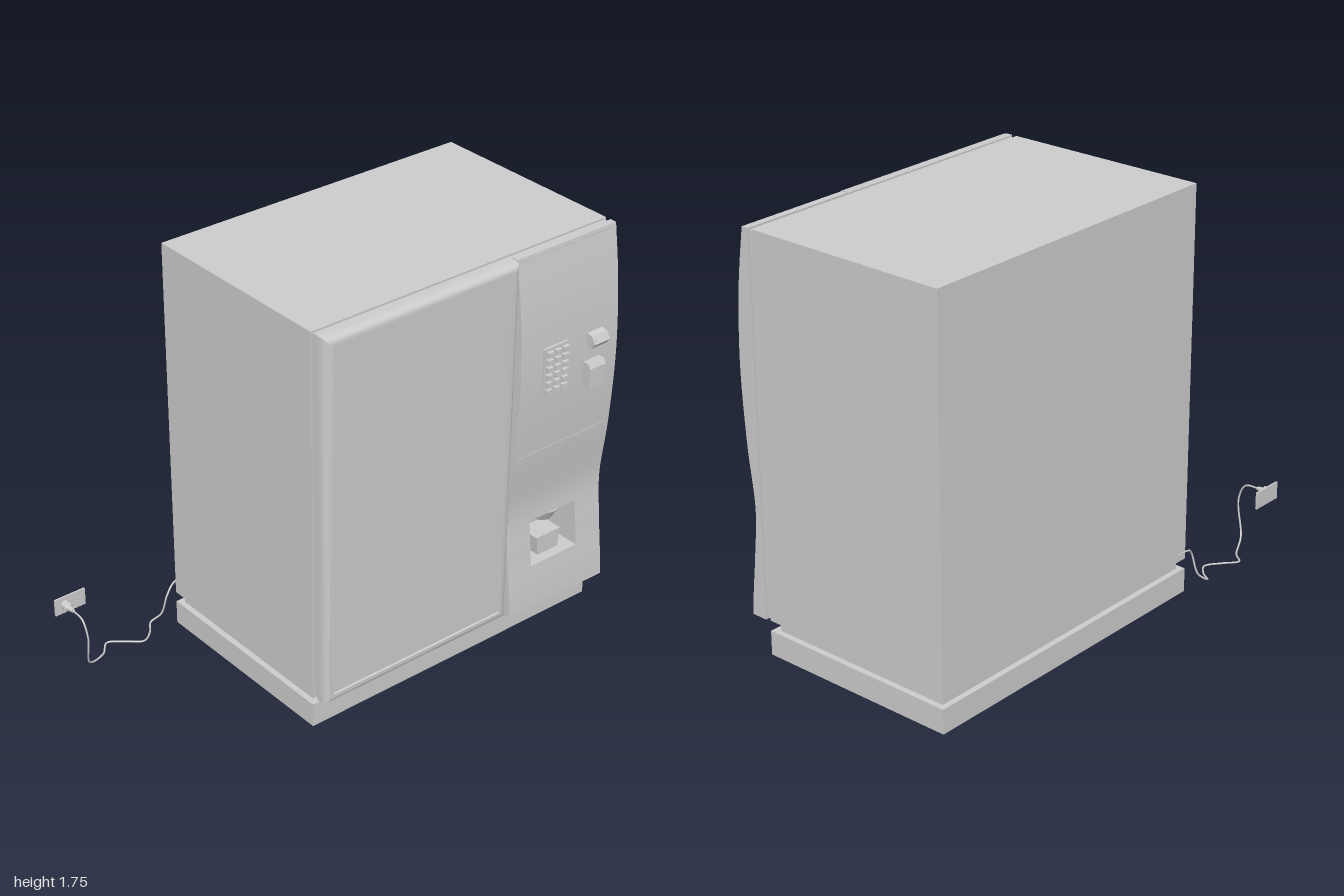
import * as THREE from 'three';
import { toCreasedNormals } from 'three/addons/utils/BufferGeometryUtils.js';

const grey = new THREE.MeshStandardMaterial({ color: 0xcccccc, side: THREE.DoubleSide });
const HOLE = { z0: -0.865, z1: -0.615, y0: 0.335, y1: 0.54 };

// front curve of the control panel: (height, x)
const wave = new THREE.SplineCurve([
  [0.145, 0.505], [0.25, 0.497], [0.42, 0.478], [0.62, 0.464], [0.88, 0.493],
  [1.2, 0.51], [1.5, 0.497], [1.75, 0.464],
].map(([y, x]) => new THREE.Vector2(y, x))).getPoints(70);

function panelX(y) {
  let i = 1;
  while (i < wave.length - 1 && wave[i].x < y) i++;
  const a = wave[i - 1], b = wave[i];
  return a.y + (b.y - a.y) * (y - a.x) / (b.x - a.x);
}

export function createModel() {
  const root = new THREE.Group();

  function add(name, geometry, parent = root) {
    const mesh = new THREE.Mesh(geometry, grey);
    mesh.name = name;
    parent.add(mesh);
    return mesh;
  }
  function box(name, x0, x1, y0, y1, z0, z1, parent) {
    const mesh = add(name, new THREE.BoxGeometry(x1 - x0, y1 - y0, z1 - z0), parent);
    mesh.position.set((x0 + x1) / 2, (y0 + y1) / 2, (z0 + z1) / 2);
    return mesh;
  }
  // outline in x and y, extruded along z
  function slab(name, points, z0, z1, parent) {
    const shape = new THREE.Shape(points.map(([x, y]) => new THREE.Vector2(x, y)));
    const geo = new THREE.ExtrudeGeometry(shape, { depth: z1 - z0, bevelEnabled: false });
    geo.translate(0, 0, z0);
    return add(name, toCreasedNormals(geo, 0.5), parent);
  }
  // upright plate with the dispenser opening cut through it
  function cutPlate(name, x0, x1, y0, y1, z0, z1) {
    const rect = (C, a, b, c, d) => new C([[-b, c], [-a, c], [-a, d], [-b, d]].map((p) => new THREE.Vector2(...p)));
    const shape = rect(THREE.Shape, z0, z1, y0, y1);
    shape.holes.push(rect(THREE.Path, HOLE.z0, HOLE.z1, HOLE.y0, HOLE.y1));
    const geo = new THREE.ExtrudeGeometry(shape, { depth: x1 - x0, bevelEnabled: false });
    geo.rotateY(Math.PI / 2).translate(x0, 0, 0);
    return add(name, geo);
  }

  // base and cabinet
  box('base', -0.49, 0.41, 0, 0.105, -1, 0.455);
  box('baseNeck', -0.465, 0.38, 0.105, 0.15, -0.975, 0.43);
  box('cabinet', -0.49, 0.34, 0.15, 1.75, -1, 0.455);
  cutPlate('cabinetFront', 0.34, 0.41, 0.15, 1.75, -1, 0.455);
  cutPlate('doorGasket', 0.41, 0.434, 0.155, 1.742, -0.992, 0.447);

  // window door: rectangular rings stepping inwards over a rounded frame to the glass
  const rings = [[0, 0.434], [0, 0.463], [0.003, 0.475], [0.009, 0.485], [0.018, 0.491],
    [0.028, 0.494], [0.04, 0.494], [0.042, 0.485]].map(([d, x]) => [
    [x, 0.145 + d, 0.455 - d], [x, 0.145 + d, -0.482 + d],
    [x, 1.75 - d, -0.482 + d], [x, 1.75 - d, 0.455 - d]]);
  const verts = [];
  const quad = (a, b, c, d) => verts.push(...a, ...b, ...c, ...a, ...c, ...d);
  for (let r = 0; r < rings.length - 1; r++) {
    for (let i = 0; i < 4; i++) {
      const j = (i + 1) % 4;
      quad(rings[r][i], rings[r][j], rings[r + 1][j], rings[r + 1][i]);
    }
  }
  const frame = new THREE.BufferGeometry();
  frame.setAttribute('position', new THREE.Float32BufferAttribute(verts, 3));
  add('windowFrame', toCreasedNormals(frame, 0.6));
  box('windowGlass', 0.475, 0.486, 0.187, 1.708, -0.44, 0.413);
  box('windowDoorBack', 0.434, 0.436, 0.147, 1.748, -0.48, 0.453);

  // control panel, assembled around the dispenser opening
  const panel = new THREE.Group();
  panel.name = 'controlPanel';
  root.add(panel);
  function panelPart(name, y0, y1, z0, z1) {
    const pts = [[0.434, y1], [0.434, y0]];
    const n = Math.max(4, Math.ceil((y1 - y0) * 40));
    for (let i = 0; i <= n; i++) {
      const y = y0 + (y1 - y0) * i / n;
      pts.push([panelX(y), y]);
    }
    slab(name, pts, z0, z1, panel);
  }
  panelPart('panelInnerSide', 0.145, 1.75, HOLE.z1, -0.488);
  panelPart('panelOuterSide', 0.145, 1.75, -1, HOLE.z0);
  panelPart('panelBelowOpening', 0.145, HOLE.y0, HOLE.z0, HOLE.z1);
  panelPart('panelAboveOpening', HOLE.y1, 1.75, HOLE.z0, HOLE.z1);
  for (const y of [0.885, 1.445, 1.737]) {
    const x = panelX(y);
    box('panelSeam', x - 0.01, x + 0.0015, y - 0.003, y + 0.003, -0.98, -0.505, panel);
  }
  const lock = add('lock', new THREE.CylinderGeometry(0.004, 0.004, 0.006, 12), panel);
  lock.rotation.z = Math.PI / 2;
  lock.position.set(panelX(0.58), 0.58, -0.525);

  // keypad
  const keypad = new THREE.Group();
  keypad.name = 'keypad';
  root.add(keypad);
  box('keypadPlate', 0.49, 0.517, 1.14, 1.35, -0.727, -0.602, keypad);
  for (let row = 0; row < 6; row++) {
    for (let col = 0; col < 3; col++) {
      const y = 1.1625 + row * 0.033, z = -0.705 + col * 0.0405;
      box('key', 0.515, 0.534, y - 0.011, y + 0.011, z - 0.014, z + 0.014, keypad);
    }
  }

  // note reader with a slanted mouth, and coin unit with a slot
  slab('noteReader', [[0.49, 1.28], [0.532, 1.28], [0.553, 1.305], [0.535, 1.335], [0.49, 1.345]], -0.917, -0.835);
  const mouth = box('noteSlot', -0.004, 0.004, -0.004, 0.004, -0.033, 0.033);
  mouth.position.set(0.545, 1.32, -0.876);
  mouth.rotation.z = 0.6;
  slab('coinUnit', [[0.49, 1.115], [0.55, 1.115], [0.55, 1.2], [0.538, 1.22], [0.49, 1.22]], -0.905, -0.82);
  box('coinSlot', 0.545, 0.553, 1.14, 1.2, -0.9, -0.892);

  // dispenser: curved spout above, cup holder below
  const spout = add('dispenserSpout', new THREE.CylinderGeometry(0.073, 0.045, 0.05, 32, 1, false, 0, Math.PI));
  spout.position.set(0.4, 0.515, -0.742);
  const holder = new THREE.Shape([[-0.065, 0.42], [-0.055, 0.336], [0.055, 0.336], [0.065, 0.42]]
    .map((p) => new THREE.Vector2(...p)));
  const holderGeo = new THREE.ExtrudeGeometry(holder, { depth: 0.1, bevelEnabled: false });
  holderGeo.rotateY(Math.PI / 2).translate(0.345, 0, -0.745);
  add('cupHolder', holderGeo);

  // power cord, plug and wall socket
  const path = new THREE.CatmullRomCurve3([
    [-0.51, 0.2, 0.39], [-0.505, 0.19, 0.455], [-0.49, 0.155, 0.5], [-0.51, 0.06, 0.52],
    [-0.53, 0.025, 0.56], [-0.48, 0.02, 0.6], [-0.445, 0.02, 0.655], [-0.49, 0.022, 0.72],
    [-0.53, 0.02, 0.78], [-0.48, 0.018, 0.83], [-0.43, 0.05, 0.93], [-0.395, 0.2, 0.952],
    [-0.425, 0.272, 0.955], [-0.5, 0.28, 0.955],
  ].map((p) => new THREE.Vector3(...p)));
  add('powerCord', new THREE.TubeGeometry(path, 120, 0.004, 8));
  const plug = add('plug', new THREE.LatheGeometry([[0, 0], [0.02, 0], [0.02, 0.026], [0.012, 0.032],
    [0.008, 0.06], [0, 0.06]].map((p) => new THREE.Vector2(...p)), 20));
  plug.geometry = toCreasedNormals(plug.geometry, 0.5);
  plug.rotation.z = -Math.PI / 2;
  plug.position.set(-0.547, 0.28, 0.955);
  box('socketPlate', -0.555, -0.547, 0.24, 0.315, 0.857, 1);
  for (const [y, z] of [[0.285, 0.89], [0.285, 0.907], [0.27, 0.898]]) {
    box('socketContact', -0.548, -0.546, y - 0.005, y + 0.005, z - 0.002, z + 0.002);
  }
  return root;
}
